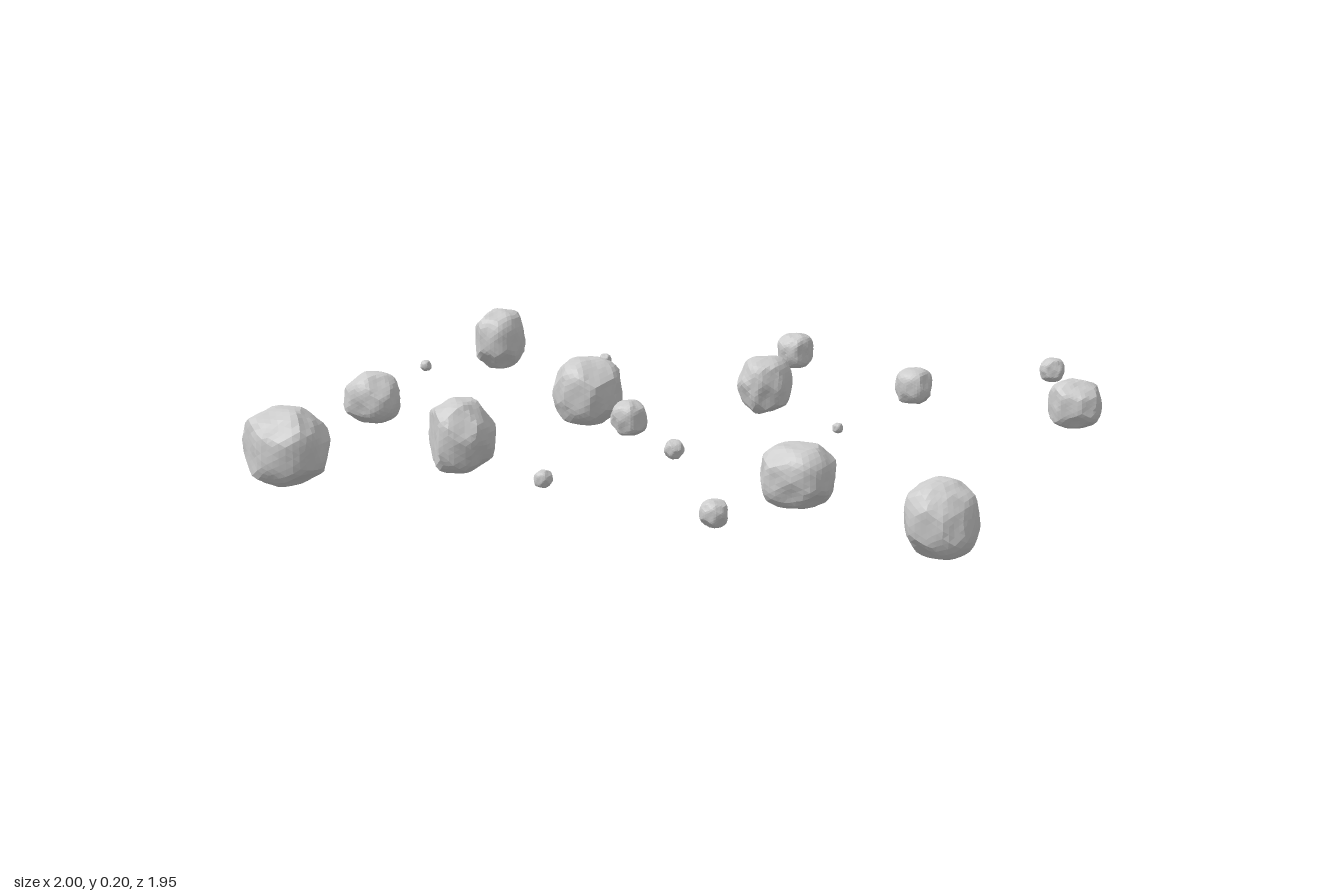
import * as THREE from 'three';

// Boulders: x, z, half sizes in x, y, z, then the main chipped side:
// azimuth (degrees, +x towards +z) and distance from the middle
const BOULDERS = [
  [-0.925, -0.775, 0.072, 0.086, 0.088, 140, 0.88],
  [0.03, -0.447, 0.068, 0.078, 0.08, 225, 0.92],
  [0.883, -0.507, 0.07, 0.065, 0.06, 235, 0.78],
  [-0.385, -0.187, 0.091, 0.09, 0.088, 135, 0.95],
  [-0.884, 0.103, 0.075, 0.068, 0.064, 310, 0.86],
  [-0.468, 0.433, 0.089, 0.094, 0.086, 142, 0.72],
  [0.475, 0.523, 0.09, 0.077, 0.086, 235, 0.82],
  [-0.812, 0.703, 0.104, 0.098, 0.096, 130, 0.92],
  [0.917, 0.795, 0.083, 0.09, 0.08, 215, 0.88],
];

// Small stones: x, z, radius
const STONES = [
  [-0.055, -0.927, 0.05],
  [0.708, -0.926, 0.033],
  [-0.51, -0.598, 0.017],
  [0.416, -0.573, 0.049],
  [-0.945, -0.333, 0.015],
  [-0.148, 0.082, 0.046],
  [0.395, 0.002, 0.013],
  [0.098, 0.378, 0.024],
  [-0.073, 0.783, 0.021],
  [0.425, 0.943, 0.032],
];

const MID_HEIGHT = 0.1;

// Seeded random numbers
function seeded(seed) {
  let s = seed * 791933;
  return () => (s = (s * 16807) % 2147483647) / 2147483647;
}

// A rounded block of unit half size, chipped by flat cuts and scaled to its half sizes
function rockGeometry(rx, ry, rz, chipAngle, chipDistance, seed) {
  const random = seeded(seed);
  const a = THREE.MathUtils.degToRad(chipAngle);
  const cuts = [{ n: new THREE.Vector3(Math.cos(a), 0, Math.sin(a)), d: chipDistance }];
  for (let i = 0; i < 24; i++) {
    const n = new THREE.Vector3().setFromSphericalCoords(
      1, Math.acos(random() * 2 - 1), random() * Math.PI * 2);
    cuts.push({ n, d: 0.96 + random() * 0.1 });
  }

  const geometry = new THREE.IcosahedronGeometry(1, 6);
  const pos = geometry.attributes.position;
  const v = new THREE.Vector3();
  for (let i = 0; i < pos.count; i++) {
    v.fromBufferAttribute(pos, i).normalize();
    let r = (Math.abs(v.x) ** 2.8 + Math.abs(v.y) ** 2.8 + Math.abs(v.z) ** 2.8) ** (-1 / 2.8);
    for (const { n, d } of cuts) {
      const k = v.dot(n);
      if (k > 0) r = Math.min(r, d / k);
    }
    // Unevenness of the broken surface
    r *= 1 + 0.025 * Math.sin(v.x * 7 + seed) * Math.sin(v.y * 6 + seed * 2) * Math.cos(v.z * 7);
    pos.setXYZ(i, v.x * r * rx, v.y * r * ry, v.z * r * rz);
  }
  geometry.computeVertexNormals();
  return geometry;
}

export function createModel() {
  const group = new THREE.Group();
  group.name = 'scatteredRocks';
  const material = new THREE.MeshStandardMaterial({ color: 0xcccccc, flatShading: true });

  const addRock = (name, x, z, geometry) => {
    const rock = new THREE.Mesh(geometry, material);
    rock.name = name;
    rock.position.set(x, MID_HEIGHT, z);
    group.add(rock);
  };

  BOULDERS.forEach(([x, z, rx, ry, rz, chip, depth], i) =>
    addRock(`boulder${i + 1}`, x, z, rockGeometry(rx, ry, rz, chip, depth, i + 1)));
  STONES.forEach(([x, z, r], i) =>
    addRock(`stone${i + 1}`, x, z, rockGeometry(r, r, r, i * 77, 0.92, i + 20)));
  return group;
}
